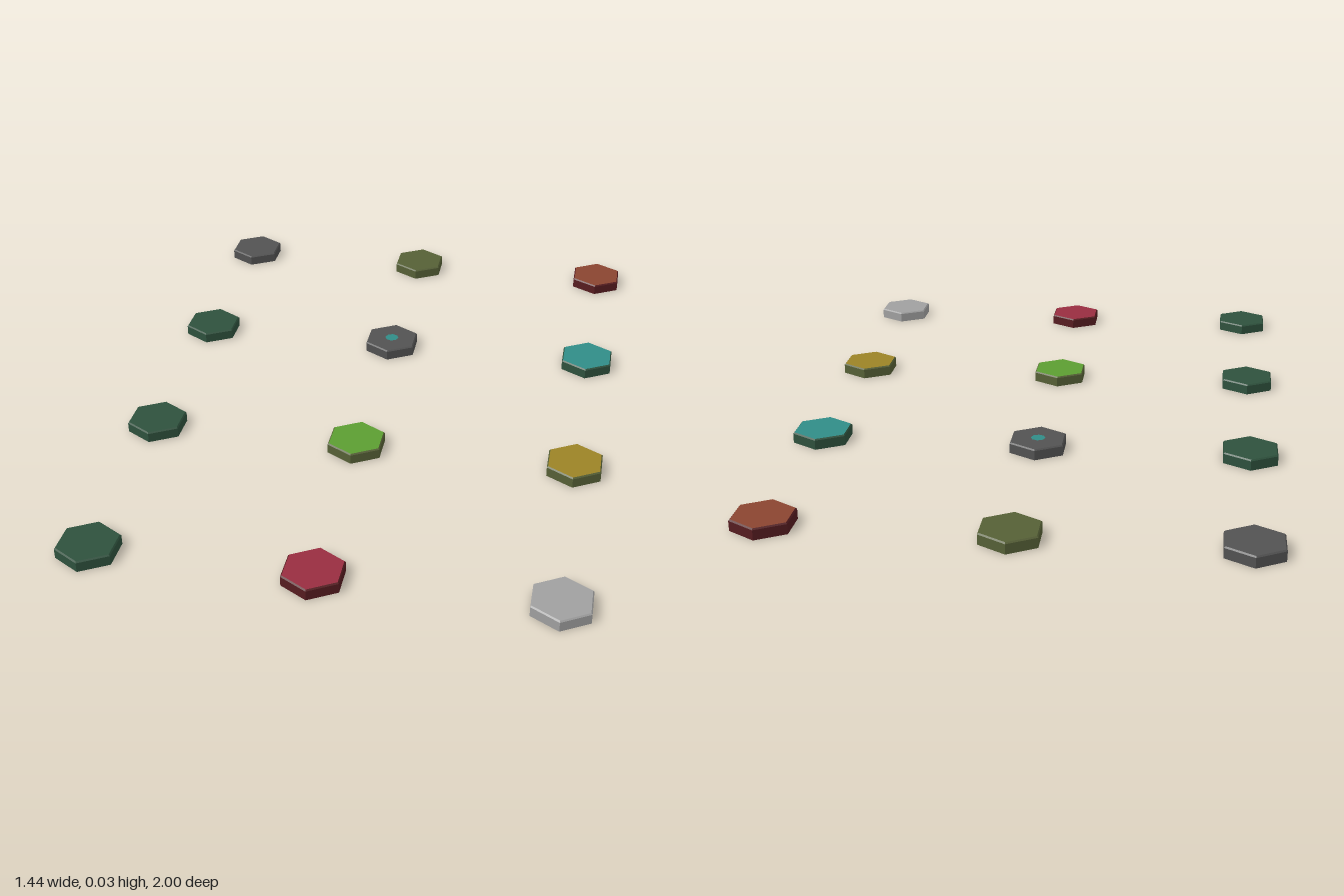
import * as THREE from 'three';

const R = 0.091, H = 0.033, BEVEL = 0.004;

function paint(name, color) {
  const m = new THREE.MeshStandardMaterial({ color, side: THREE.DoubleSide, flatShading: true });
  m.name = name;
  return m;
}

export function createModel() {
  const group = new THREE.Group();
  group.name = 'hexTiles';

  const mat = {
    grey: paint('dark grey', 0x525252),
    olive: paint('olive', 0x566036),
    rust: paint('rust', 0x8a4530),
    forest: paint('forest green', 0x2e513d),
    teal: paint('teal', 0x308d87),
    green: paint('leaf green', 0x5c9e31),
    gold: paint('gold', 0x9c8326),
    red: paint('crimson', 0x982d40),
    silver: paint('light grey', 0xa0a0a0),
    maroon: paint('maroon', 0x561c20),
  };

  // Hollow tile: six walls, a narrow bevel and a lid, open underneath
  const wallGeo = new THREE.CylinderGeometry(R, R, H - BEVEL, 6, 1, true);
  wallGeo.translate(0, (H - BEVEL) / 2, 0);
  const bevelGeo = new THREE.CylinderGeometry(R - BEVEL, R, BEVEL, 6, 1, true);
  bevelGeo.translate(0, H - BEVEL / 2, 0);
  const lidGeo = new THREE.CircleGeometry(R - BEVEL, 6, Math.PI / 2);
  lidGeo.rotateX(-Math.PI / 2);
  lidGeo.translate(0, H, 0);

  function add(parent, geo, material, name) {
    const mesh = new THREE.Mesh(geo, material);
    mesh.name = name;
    parent.add(mesh);
    return mesh;
  }

  // Rows from back to front: z, x of the middle column, [lid, wall] colours
  const rows = [
    [-0.909, -0.022, [['grey', 'grey'], ['olive', 'olive'], ['rust', 'maroon']]],
    [-0.32, -0.022, [['forest', 'forest'], ['grey', 'grey'], ['teal', 'forest']]],
    [0.29, -0.022, [['forest', 'forest'], ['green', 'olive'], ['gold', 'olive']]],
    [0.909, -0.014, [['forest', 'forest'], ['red', 'maroon'], ['silver', 'silver']]],
  ];
  const columns = [-0.624, 0, 0.654];

  rows.forEach(([z, x, tiles], r) => tiles.forEach(([lid, wall], c) => {
    const tile = new THREE.Group();
    tile.name = `tileRow${r + 1}Column${c + 1}`;
    tile.position.set(x + columns[c], 0, z);
    add(tile, wallGeo, mat[wall], 'walls');
    add(tile, bevelGeo, mat[wall], 'bevel');
    add(tile, lidGeo, mat[lid], 'lid');
    // Small inlaid dot on the central tile
    if (r === 1 && c === 1) {
      const dot = add(tile, new THREE.CircleGeometry(0.022, 8), mat.teal, 'centreDot');
      dot.rotation.x = -Math.PI / 2;
      dot.position.y = H + 0.001;
    }
    group.add(tile);
  }));

  return group;
}
